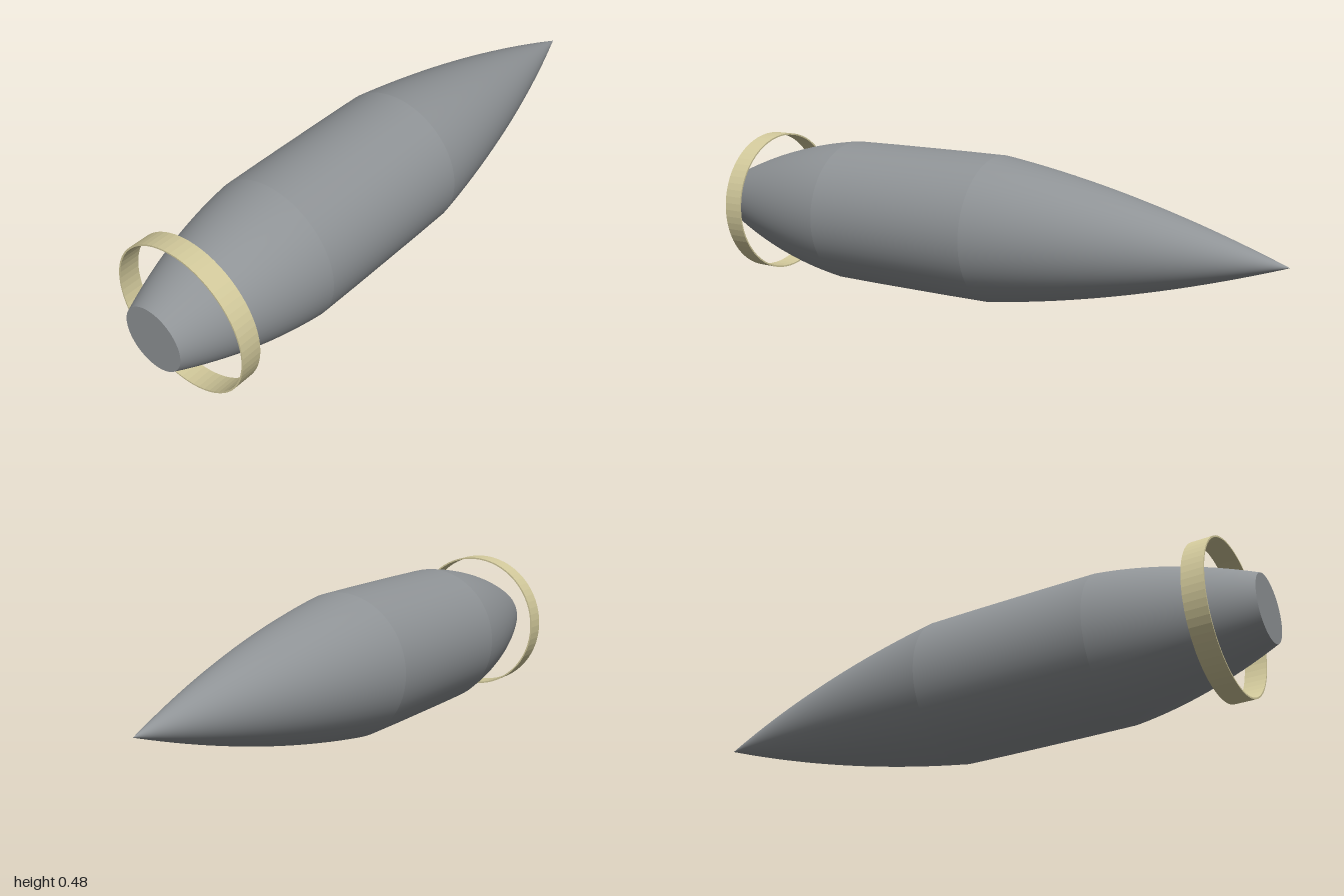
import * as THREE from 'three';

const AXIS_Y = 0.24, SEGMENTS = 64, RADIUS = 0.236;
const shellGrey = new THREE.MeshStandardMaterial({ color: 0x8f9396 });
shellGrey.name = 'shell grey';
const bandCream = new THREE.MeshStandardMaterial({ color: 0xd3ca9c });
bandCream.name = 'band cream';

// Revolves [x, radius] pairs around the long axis
function turn(name, profile, material, faceted = false) {
  let geo = new THREE.LatheGeometry(profile.map(([x, r]) => new THREE.Vector2(r, x)), SEGMENTS);
  geo.rotateZ(-Math.PI / 2);
  if (faceted) {
    geo = geo.toNonIndexed();
    geo.computeVertexNormals();
  }
  const mesh = new THREE.Mesh(geo, material);
  mesh.name = name;
  mesh.position.y = AXIS_Y;
  return mesh;
}

// Straight taper from one end to the other with an outward bulge
function ogive(x0, r0, x1, r1, bulge, steps = 20) {
  return Array.from({ length: steps + 1 }, (_, i) => {
    const t = i / steps;
    return [x0 + (x1 - x0) * t, r0 + (r1 - r0) * t + 4 * bulge * t * (1 - t)];
  });
}

export function createModel() {
  const group = new THREE.Group();
  group.name = 'projectile';

  // Body: flat base, boat tail, straight middle and pointed nose
  group.add(turn('base', [[-1, 0], [-1, 0.104]], shellGrey));
  group.add(turn('tail', ogive(-1, 0.104, -0.53, RADIUS - 0.001, 0.019), shellGrey));
  group.add(turn('middle', [[-0.53, RADIUS - 0.001], [-0.38, RADIUS], [-0.1, RADIUS], [0.05, RADIUS - 0.001]], shellGrey));
  group.add(turn('nose', ogive(0.05, RADIUS - 0.001, 1, 0, 0.026), shellGrey));

  // Thin loose band around the tail
  const band = [[-0.905, 0.235], [-0.905, 0.24], [-0.838, 0.24], [-0.838, 0.235], [-0.905, 0.235]];
  group.add(turn('band', band, bandCream, true));
  return group;
}
